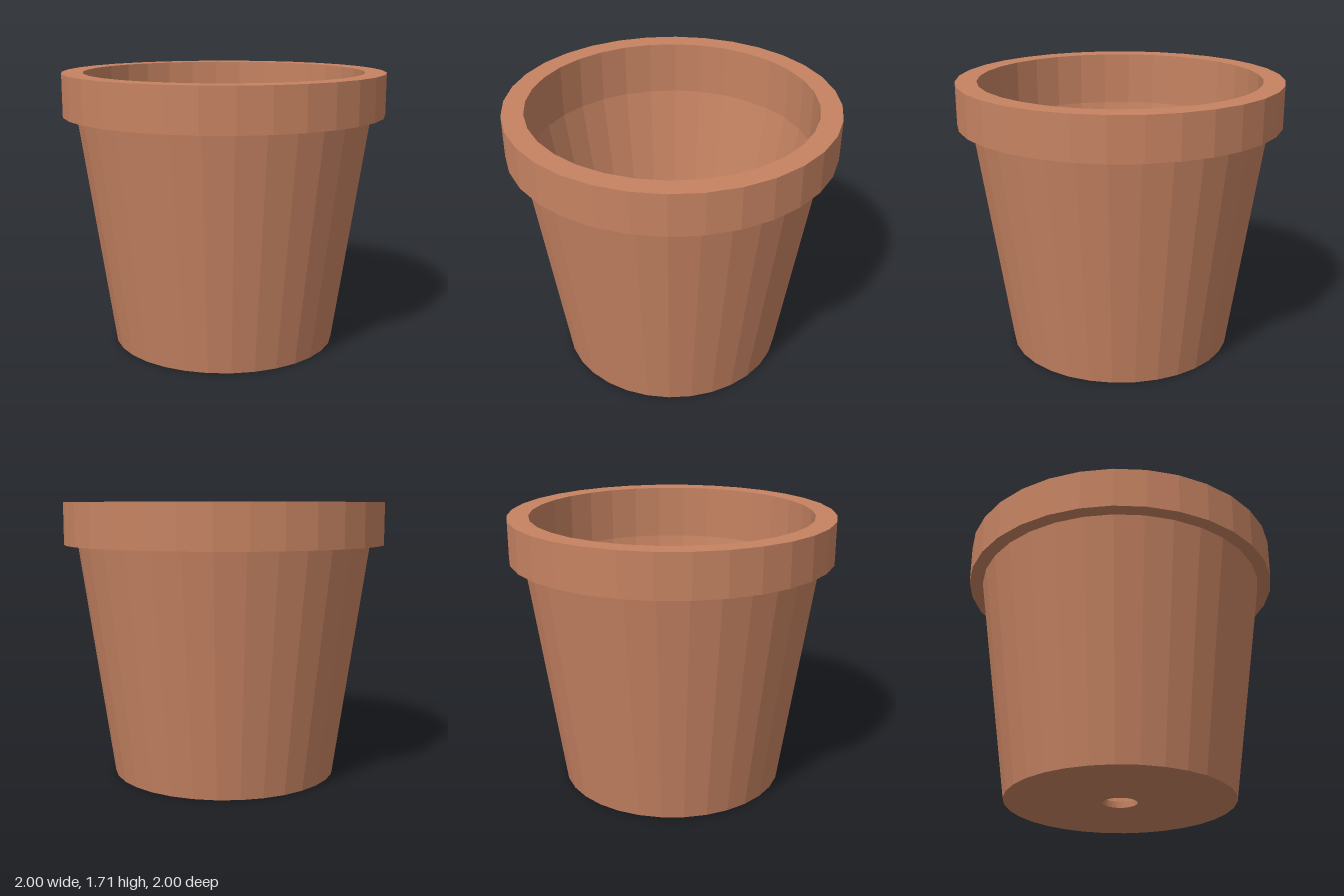
import * as THREE from 'three';

const SIDES = 32;

export function createModel() {
  const pot = new THREE.Group();
  pot.name = 'flowerPot';
  const terracotta = new THREE.MeshStandardMaterial({ color: 0xc68362, flatShading: true });
  terracotta.name = 'terracotta';

  // Spins a [radius, height] profile into a faceted ring
  const turn = (name, profile) => {
    const points = profile.map(([r, y]) => new THREE.Vector2(r, y));
    const mesh = new THREE.Mesh(new THREE.LatheGeometry(points, SIDES), terracotta);
    mesh.name = name;
    pot.add(mesh);
  };

  // Underside and tapered outer wall
  turn('outerWall', [[0.105, 0], [0.705, 0], [0.915, 1.45]]);

  // Thick collar: lower ledge, band and top lip
  turn('rim', [[0.915, 1.45], [1, 1.45], [1, 1.71], [0.87, 1.71]]);

  // Straight collar inside, then tapered wall down to the floor
  turn('innerWall', [[0.87, 1.71], [0.87, 1.37], [0.63, 0.04]]);

  // Floor with the drainage hole through it
  turn('floor', [[0.63, 0.04], [0.105, 0.04]]);
  turn('drainHole', [[0.105, 0.04], [0.105, 0]]);

  return pot;
}
